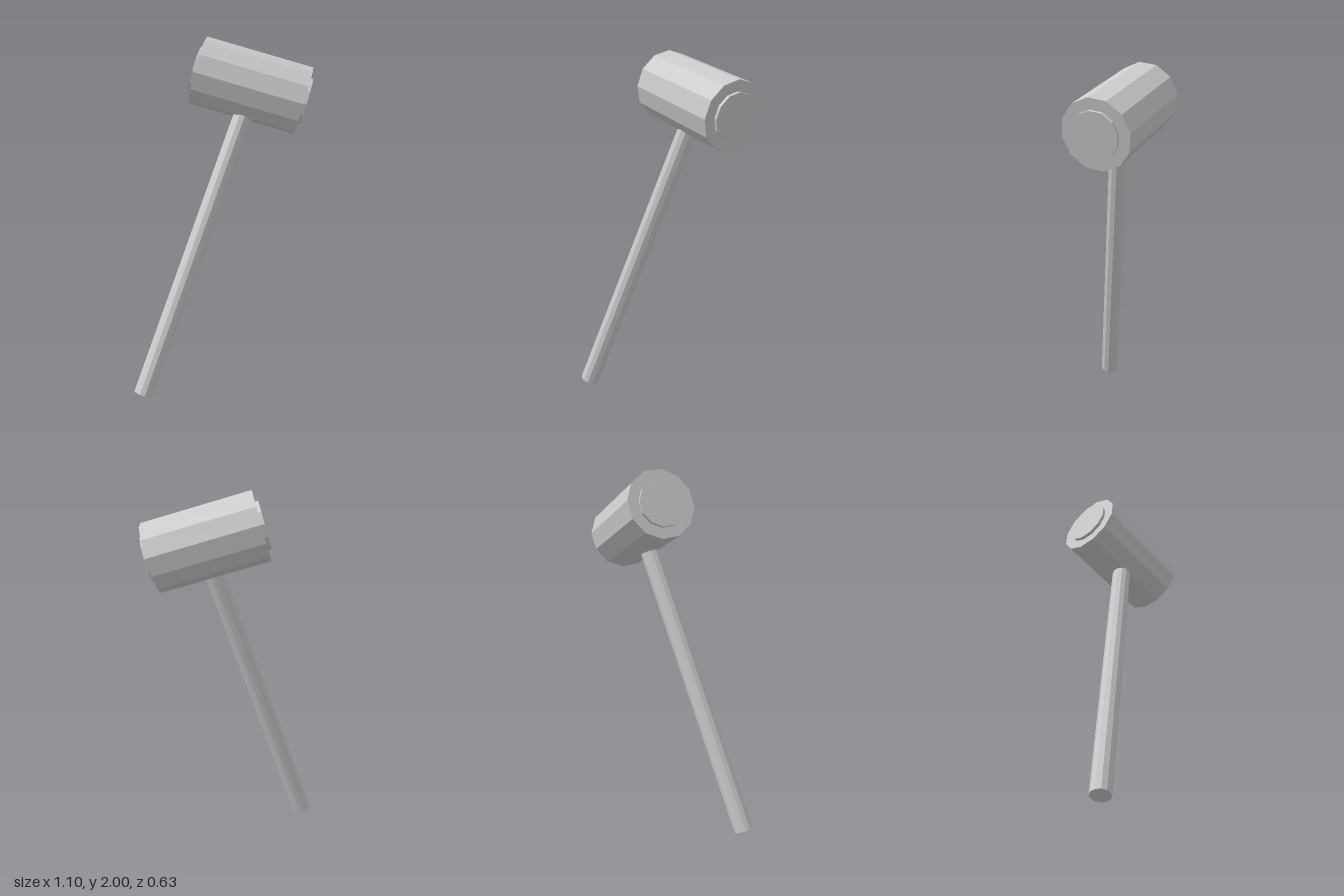
import * as THREE from 'three';

const SIDES = 12;
const material = new THREE.MeshStandardMaterial({ color: 0xcccccc, flatShading: true });

// Faceted cylinder along local y
function prism(name, radius, length, y = 0) {
  const mesh = new THREE.Mesh(new THREE.CylinderGeometry(radius, radius, length, SIDES), material);
  mesh.name = name;
  mesh.position.y = y;
  return mesh;
}

// Turns local y onto an axis, with local z (a corner of the prism) towards the hint
function orient(object, axis, hint) {
  const y = axis.clone().normalize();
  const x = new THREE.Vector3().crossVectors(y, hint).normalize();
  const z = new THREE.Vector3().crossVectors(x, y);
  object.quaternion.setFromRotationMatrix(new THREE.Matrix4().makeBasis(x, y, z));
}

export function createModel() {
  const model = new THREE.Group();
  model.name = 'mallet';

  // Head: a thick drum with a raised striking disc on each end
  const halfLength = 0.31, discHeight = 0.018;
  const head = new THREE.Group();
  head.name = 'head';
  head.add(prism('headDrum', 0.194, halfLength * 2));
  for (const side of [-1, 1]) {
    head.add(prism(side > 0 ? 'frontStrikingDisc' : 'backStrikingDisc',
      0.132, discHeight * 2, side * halfLength));
  }
  head.position.set(0.185, 1.728, 0);
  orient(head, new THREE.Vector3(0.257, -0.086, 0.15), new THREE.Vector3(0.035, 0.186, 0.038));
  model.add(head);

  // Handle: a straight leaning rod that ends inside the head
  const foot = new THREE.Vector3(-0.503, 0.02, 0.035);
  const tip = new THREE.Vector3(0.187, 1.7, 0.01);
  const handle = prism('handle', 0.054, foot.distanceTo(tip));
  handle.geometry.rotateY(Math.PI / SIDES); // a flat faces the front
  handle.position.copy(foot).lerp(tip, 0.5);
  orient(handle, tip.clone().sub(foot), new THREE.Vector3(0, 0, 1));
  model.add(handle);

  return model;
}
